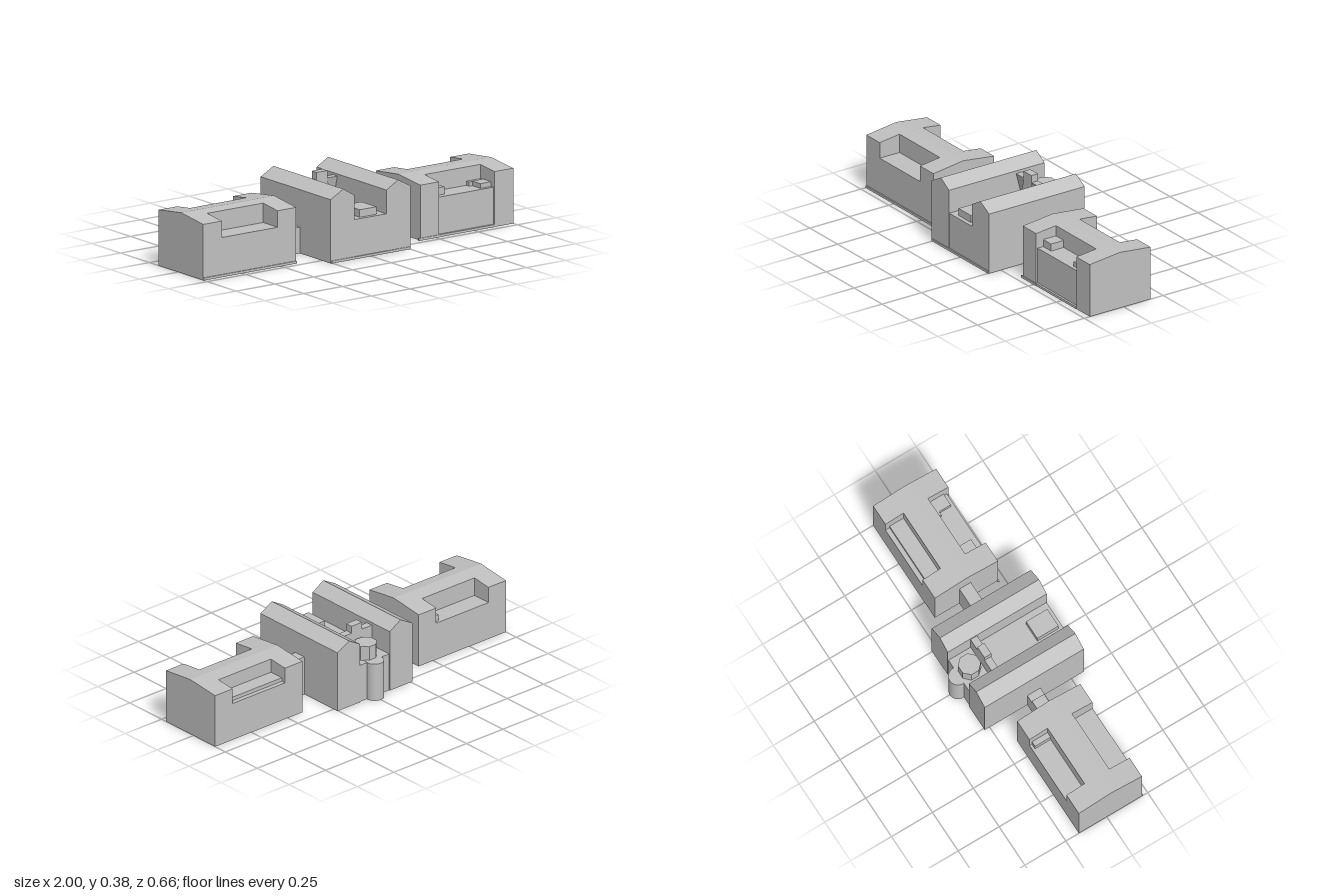
import * as THREE from 'three';

export function createModel() {
  const model = new THREE.Group();
  const stone = new THREE.MeshStandardMaterial({ color: 0xc0c0c0 });
  stone.name = 'light grey stone';

  const add = (name, geometry, parent = model) => {
    const mesh = new THREE.Mesh(geometry, stone);
    mesh.name = name;
    parent.add(mesh);
    return mesh;
  };

  // Box given by its limits on each axis
  const box = (name, x0, x1, y0, y1, z0, z1, parent) =>
    add(name, new THREE.BoxGeometry(x1 - x0, y1 - y0, z1 - z0)
      .translate((x0 + x1) / 2, (y0 + y1) / 2, (z0 + z1) / 2), parent);

  const extrude = (points, depth) => new THREE.ExtrudeGeometry(
    new THREE.Shape(points.map(([a, b]) => new THREE.Vector2(a, b))),
    { depth, bevelEnabled: false });

  // Profile of (z, y) points swept along x
  const alongX = (name, points, x0, x1, parent) =>
    add(name, extrude(points.map(([z, y]) => [-z, y]), x1 - x0)
      .rotateY(Math.PI / 2).translate(x0, 0, 0), parent);

  // Profile of (x, y) points swept along z
  const alongZ = (name, points, z0, z1, parent) =>
    add(name, extrude(points, z1 - z0).translate(0, 0, z0), parent);

  // Side wing: gabled ends and a middle with a terrace cut into both slopes
  function wing(name, x0, n0, n1, x1, eave, ridge, middleFront) {
    const g = new THREE.Group();
    g.name = name;
    model.add(g);
    const back = -0.17, front = 0.215, mid = 0.025, deck = 0.21;
    const roof = z => z > mid
      ? ridge - (ridge - eave) * (z - mid) / (front - mid)
      : ridge - (ridge - eave) * (mid - z) / (mid - back);
    const full = [[back, 0], [front, 0], [front, eave], [mid, ridge], [back, eave]];
    const cut = [[back, 0], [middleFront, 0], [middleFront, deck], [0.09, deck],
      [0.09, roof(0.09)], [mid, ridge], [-0.06, roof(-0.06)], [-0.06, deck], [back, deck]];
    alongX('wingEnd', full, x0, n0, g);
    alongX('wingMiddle', cut, n0, n1, g);
    alongX('wingEnd', full, n1, x1, g);
    return g;
  }

  const leftWing = wing('westWing', -1, -0.88, -0.52, -0.4, 0.298, 0.322, 0.215);
  box('footing', -1, -0.4, 0, 0.013, 0.21, 0.221, leftWing);
  box('terraceBox', -0.55, -0.52, 0.21, 0.245, -0.155, -0.06, leftWing);

  const rightWing = wing('eastWing', 0.4, 0.52, 0.88, 1, 0.295, 0.315, 0.205);
  box('footing', 0.52, 0.88, 0, 0.013, 0.2, 0.217, rightWing);
  box('footing', 0.39, 0.52, 0, 0.013, 0.21, 0.219, rightWing);
  box('terraceBox', 0.52, 0.59, 0.21, 0.25, 0.09, 0.17, rightWing);
  box('terraceBox', 0.79, 0.88, 0.21, 0.232, 0.09, 0.115, rightWing);
  box('terraceBox', 0.81, 0.88, 0.21, 0.235, 0.115, 0.185, rightWing);
  box('terraceStep', 0.52, 0.88, 0.21, 0.23, -0.145, -0.06, rightWing);

  // Links between the wings and the central building
  box('westLink', -0.4, -0.255, 0, 0.14, -0.02, 0.06);
  box('westLinkCap', -0.355, -0.305, 0.14, 0.16, -0.02, 0.055);
  box('eastLink', 0.255, 0.4, 0, 0.215, -0.02, 0.05);

  // Central building: two long gabled halls around a lower deck
  const centre = new THREE.Group();
  centre.name = 'centralBuilding';
  model.add(centre);
  alongZ('westHall', [[-0.26, 0], [-0.105, 0], [-0.105, 0.34], [-0.178, 0.385], [-0.26, 0.34]],
    -0.28, 0.325, centre);
  alongZ('eastHall', [[0.1, 0], [0.255, 0], [0.255, 0.337], [0.175, 0.38], [0.1, 0.337]],
    -0.28, 0.325, centre);
  box('centreBlock', -0.105, 0.1, 0, 0.21, -0.275, 0.323, centre);
  box('footing', -0.255, 0.25, 0, 0.013, 0.32, 0.33, centre);
  box('entranceBox', -0.055, 0.055, 0.21, 0.25, 0.17, 0.3, centre);

  // Cross wall with undercut shoulders and a tapering tower
  alongX('crossWall', [[-0.14, 0.21], [-0.13, 0.21], [-0.1, 0.325], [-0.14, 0.325]],
    -0.105, 0.1, centre);
  alongZ('tower', [[-0.058, 0.21], [0.058, 0.21], [0.035, 0.32], [0.035, 0.365],
    [-0.035, 0.365], [-0.035, 0.32]], -0.14, -0.098, centre);

  // Octagonal lantern and rounded apse at the rear
  add('lantern', new THREE.CylinderGeometry(0.06, 0.06, 0.08, 8).toNonIndexed()
    .rotateY(Math.PI / 8).translate(0, 0.25, -0.21), centre).geometry.computeVertexNormals();
  add('apse', new THREE.CylinderGeometry(0.05, 0.05, 0.212, 32)
    .translate(0, 0.106, -0.28), centre);

  return model;
}
